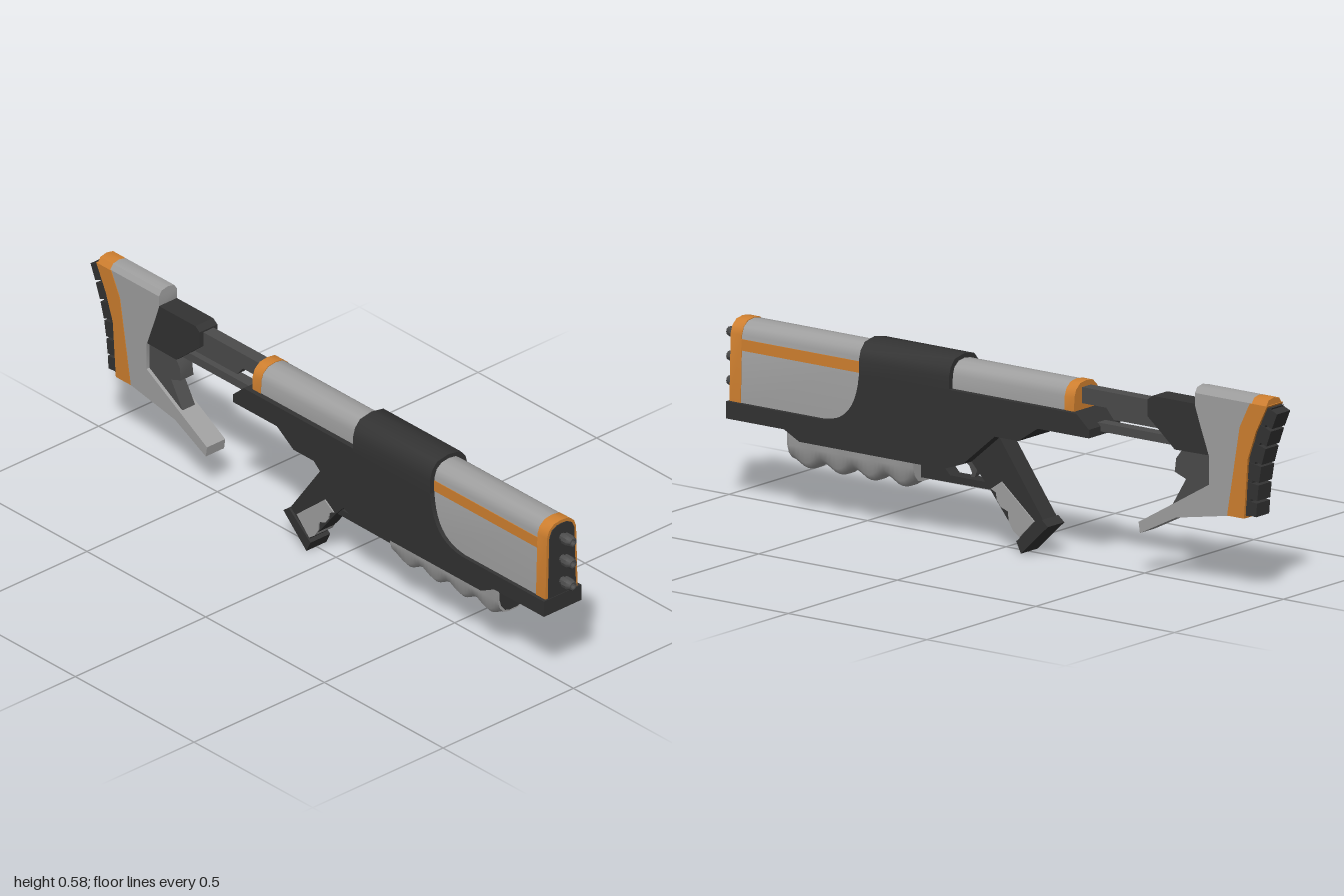
import * as THREE from 'three';
import { toCreasedNormals } from 'three/addons/utils/BufferGeometryUtils.js';

export function createModel() {
  const root = new THREE.Group();
  const material = (name, color, side = THREE.FrontSide) => {
    const m = new THREE.MeshStandardMaterial({ color, side });
    m.name = name;
    return m;
  };
  const dark = material('charcoal', 0x333333);
  const steel = material('gunmetal', 0x4c4c4c);
  const grey = material('light grey', 0xa0a0a0, THREE.DoubleSide);
  const orange = material('orange', 0xd0802f);

  const add = (name, geometry, mat) => {
    const mesh = new THREE.Mesh(geometry, mat);
    mesh.name = name;
    root.add(mesh);
    return mesh;
  };
  const toShape = pts => new THREE.Shape(pts.map(p => new THREE.Vector2(p[0], p[1])));
  const extrude = (shape, depth) => new THREE.ExtrudeGeometry(shape, { depth, bevelEnabled: false, curveSegments: 10 });

  // Side outline (x, y), as points or a shape, given a thickness across z
  const slab = (name, outline, halfWidth, mat) => {
    const shape = Array.isArray(outline) ? toShape(outline) : outline;
    const g = extrude(shape, halfWidth * 2).translate(0, 0, -halfWidth);
    return add(name, toCreasedNormals(g, 0.6), mat);
  };
  // Half cross-section (z, y), mirrored and run along x
  const run = (name, half, x0, x1, mat) => {
    const left = half.filter(p => p[0] > 0).map(p => [-p[0], p[1]]).reverse();
    const g = extrude(toShape([...half, ...left]), x1 - x0).rotateY(Math.PI / 2).translate(x0, 0, 0);
    return add(name, toCreasedNormals(g, 0.7), mat);
  };
  const arch = (base, grow = 0) => [
    [0.06 - (base - 0.28) * 0.028 + grow, base], [0.054 + grow, 0.49], [0.046 + grow, 0.512],
    [0.027 + grow, 0.526 + grow], [0, 0.53 + grow]];

  // Main body with the scooped front of the cover
  const body = new THREE.Shape();
  body.moveTo(-0.355, 0.385);
  [[-0.17, 0.385], [-0.1, 0.338], [-0.015, 0.338], [0.1, 0.24], [0.17, 0.215], [0.69, 0.215],
    [0.745, 0.243], [0.955, 0.243], [0.955, 0.293], [0.61, 0.293]].forEach(p => body.lineTo(...p));
  body.bezierCurveTo(0.52, 0.3, 0.485, 0.35, 0.475, 0.44);
  [[0.15, 0.44], [0.15, 0.45], [-0.31, 0.45], [-0.355, 0.41]].forEach(p => body.lineTo(...p));
  slab('body', body, 0.072, dark);
  run('topCover', [[0.072, 0.44], [0.072, 0.485], [0.064, 0.513], [0.045, 0.535], [0, 0.543]], 0.15, 0.475, dark);

  // Front and rear shrouds with orange ends and stripe
  run('frontShroud', arch(0.28), 0.46, 0.912, grey);
  run('rearShroud', arch(0.44), -0.256, 0.16, grey);
  run('frontBand', arch(0.28, 0.002), 0.91, 0.95, orange);
  run('rearBand', arch(0.44, 0.002), -0.29, -0.255, orange);
  run('sideStripe', [[0.0573, 0.445], [0.0563, 0.478]], 0.46, 0.912, orange);
  run('muzzlePlate', [[0.053, 0.288], [0.047, 0.49], [0.038, 0.51], [0.02, 0.52], [0, 0.522]], 0.94, 0.953, dark);

  // Three stacked muzzles
  for (const y of [0.335, 0.407, 0.478]) {
    const pts = [[0, 0], [0.012, 0], [0.012, 0.012], [0.018, 0.016], [0.018, 0.035], [0.013, 0.05], [0.009, 0.05], [0.008, 0.035], [0, 0.035]];
    const g = new THREE.LatheGeometry(pts.map(p => new THREE.Vector2(...p)), 10);
    g.rotateZ(-Math.PI / 2).translate(0.95, y, 0);
    add('muzzle', toCreasedNormals(g, 0.6), steel);
  }

  // Fore grip: U sections along x with a rippled underside
  const stations = 32, pos = [], idx = [];
  const section = t => {
    const x = 0.29 + 0.455 * t;
    const wave = Math.cos(t * Math.PI * 8);
    const b = 0.138 + 0.012 * wave, w = 0.057 - 0.003 * (1 - wave) / 2;
    const half = [[w + 0.002, 0.245], [w, 0.195], [w - 0.007, b + 0.022], [w - 0.022, b + 0.005], [0.016, b]];
    return [...half, ...half.map(([z, y]) => [-z, y]).reverse()].map(([z, y]) => [x, y, z]);
  };
  for (let i = 0; i <= stations; i++) {
    for (const p of section(i / stations)) pos.push(...p);
    if (i === stations) break;
    for (let j = 0; j < 9; j++) {
      const a = i * 10 + j;
      idx.push(a, a + 1, a + 10, a + 1, a + 11, a + 10);
    }
  }
  const guard = new THREE.BufferGeometry();
  guard.setAttribute('position', new THREE.Float32BufferAttribute(pos, 3));
  guard.setIndex(idx);
  guard.computeVertexNormals();
  add('foreGrip', guard, grey);
  const endHalf = section(1).slice(0, 5).map(p => [p[2], p[1]]).reverse();
  run('foreGripRim', endHalf, 0.739, 0.745, grey);
  run('foreGripBack', endHalf, 0.29, 0.293, grey);
  run('foreGripMouth', endHalf.map(([z, y]) => [z * 0.9, y < 0.2 ? y + 0.006 : y]), 0.742, 0.747, dark);

  // Trigger guard and trigger
  slab('triggerGuard', [[0.03, 0.165], [0.3, 0.163], [0.3, 0.225], [0.22, 0.225], [0.2, 0.2], [0.185, 0.185], [0.03, 0.185]], 0.022, dark);
  slab('trigger', [[0.1, 0.25], [0.15, 0.235], [0.125, 0.22], [0.115, 0.2], [0.12, 0.188], [0.105, 0.19], [0.097, 0.21]], 0.01, steel);

  // Pistol grip with finger-grooved insert
  slab('pistolGrip', [[0.01, 0.34], [-0.158, 0.108], [-0.077, 0.04], [-0.03, 0.09], [0.03, 0.165], [0.11, 0.25], [0.1, 0.3]], 0.031, dark);
  slab('gripInsert', [[-0.128, 0.1], [-0.075, 0.046], [-0.052, 0.062], [-0.036, 0.088], [-0.034, 0.115], [-0.008, 0.124],
    [0.006, 0.142], [0.01, 0.164], [0.028, 0.172], [-0.01, 0.198]], 0.035, grey);
  slab('gripBase', [[-0.18, 0.092], [-0.158, 0.11], [-0.066, 0.034], [-0.083, 0]], 0.038, dark);

  // Rails joining the body to the stock
  slab('upperRail', [[-0.6, 0.468], [-0.28, 0.468], [-0.28, 0.515], [-0.6, 0.515]], 0.02, steel);
  slab('railWedge', [[-0.6, 0.435], [-0.4, 0.435], [-0.37, 0.47], [-0.6, 0.47]], 0.015, steel);
  slab('lowerRail', [[-0.66, 0.395], [-0.3, 0.395], [-0.3, 0.42], [-0.66, 0.42]], 0.018, steel);

  // Stock clamp and strut
  slab('stockClamp', [[-0.77, 0.39], [-0.635, 0.388], [-0.58, 0.435], [-0.537, 0.47], [-0.537, 0.52], [-0.555, 0.533], [-0.72, 0.533]], 0.034, dark);
  slab('stockStrut', [[-0.77, 0.28], [-0.62, 0.225], [-0.668, 0.305], [-0.627, 0.32], [-0.632, 0.36], [-0.655, 0.39], [-0.77, 0.39]], 0.024, steel);

  // Stock shell, lower leg and chamfered top
  slab('stockShell', [[-0.915, 0.565], [-0.873, 0.49], [-0.828, 0.224], [-0.64, 0.19], [-0.51, 0.125], [-0.505, 0.157],
    [-0.64, 0.235], [-0.76, 0.305], [-0.76, 0.385], [-0.725, 0.48], [-0.708, 0.53], [-0.708, 0.565]], 0.035, grey);
  const roof = [[0.035, 0.564], [0.024, 0.58], [0, 0.585]];
  run('stockTop', roof, -0.913, -0.708, grey);
  run('stockBandTop', roof, -0.966, -0.913, orange);
  slab('stockBand', [[-0.97, 0.565], [-0.93, 0.485], [-0.9, 0.4], [-0.887, 0.225], [-0.826, 0.225], [-0.871, 0.49], [-0.908, 0.565]], 0.037, orange);

  // Ribbed butt pad following the band
  const edge = [[-0.968, 0.56], [-0.945, 0.505], [-0.925, 0.45], [-0.908, 0.392], [-0.898, 0.335], [-0.892, 0.28], [-0.888, 0.232]];
  for (let i = 0; i < edge.length - 1; i++) {
    const [x0, y0] = edge[i], [x1, y1] = edge[i + 1];
    const dx = x1 - x0, dy = y1 - y0, len = Math.hypot(dx, dy);
    const rib = add('buttPadRib', new THREE.BoxGeometry(0.05, len * 0.84, 0.06), dark);
    rib.position.set((x0 + x1) / 2 - 0.012, (y0 + y1) / 2, 0);
    rib.rotation.z = Math.atan2(dx, -dy);
  }
  slab('buttPadBacking', [...edge.map(([x, y]) => [x - 0.012, y]), ...edge.map(([x, y]) => [x + 0.015, y]).reverse()], 0.028, dark);

  return root;
}
